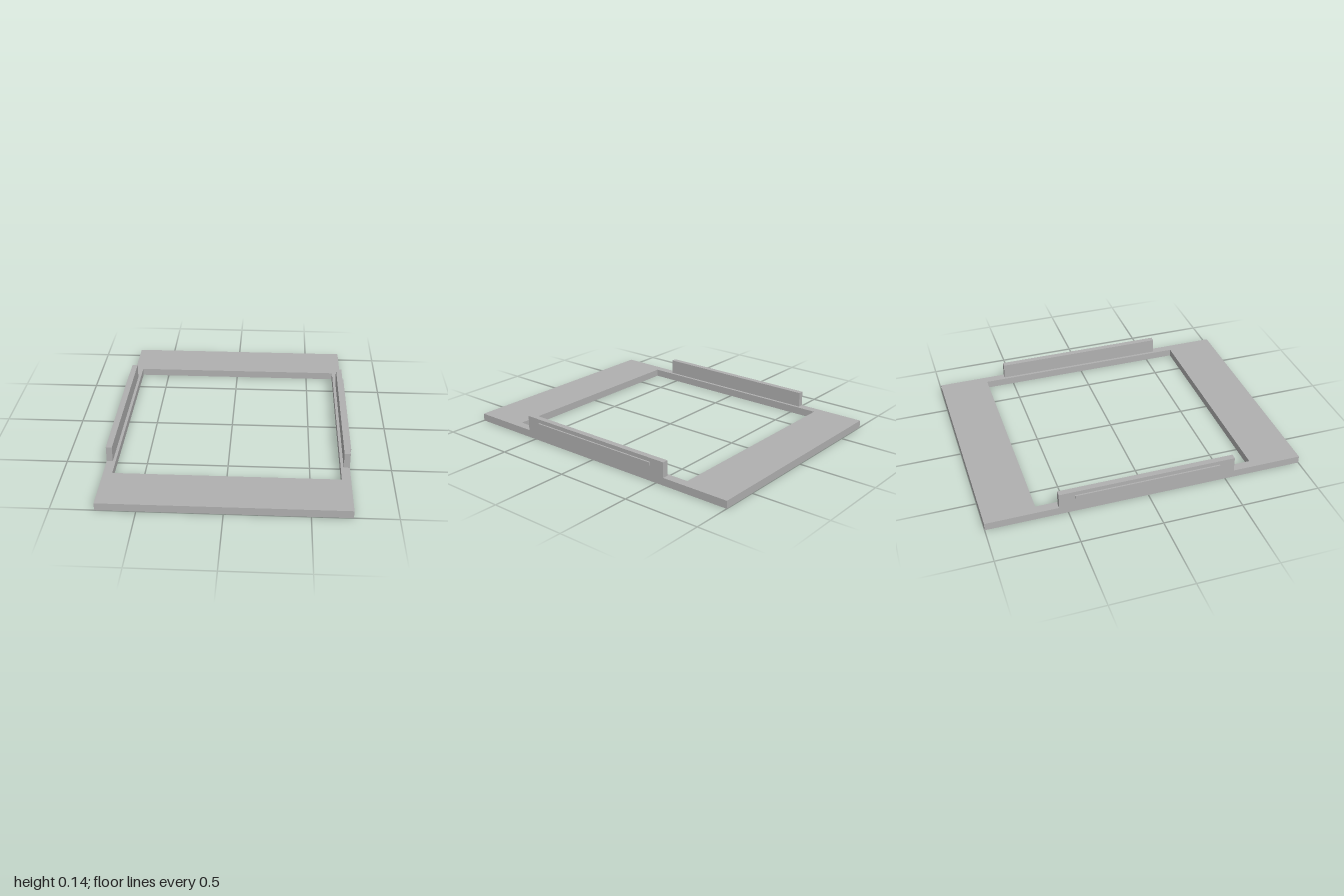
import * as THREE from 'three';

export function createModel() {
  const model = new THREE.Group();
  model.name = 'bracketFrame';
  const grey = new THREE.MeshStandardMaterial({ color: 0xb0b0b0 });
  grey.name = 'plain grey';

  const rect = (Kind, x0, x1, z0, z1) => {
    const p = new Kind();
    p.moveTo(x0, z0);
    p.lineTo(x1, z0);
    p.lineTo(x1, z1);
    p.lineTo(x0, z1);
    p.closePath();
    return p;
  };

  // Flat layer of the frame, with rectangular openings
  const layer = (name, y0, y1, openings) => {
    const shape = rect(THREE.Shape, -0.74, 0.74, -1, 1);
    shape.holes = openings.map((o) => rect(THREE.Path, ...o));
    const geo = new THREE.ExtrudeGeometry(shape, { depth: y1 - y0, bevelEnabled: false });
    geo.rotateX(-Math.PI / 2);
    geo.translate(0, y0, 0);
    const mesh = new THREE.Mesh(geo, grey);
    mesh.name = name;
    model.add(mesh);
  };

  const box = (name, x0, x1, y0, y1, halfZ) => {
    const mesh = new THREE.Mesh(new THREE.BoxGeometry(x1 - x0, y1 - y0, halfZ * 2), grey);
    mesh.position.set((x0 + x1) / 2, (y0 + y1) / 2, 0);
    mesh.name = name;
    return mesh;
  };

  // Top plate with the window, and the rims below it around two hollow ends
  const window = [-0.685, 0.685, -0.685, 0.685];
  layer('topPlate', 0.022, 0.048, [window]);
  layer('bottomRim', 0, 0.022, [
    window,
    [-0.685, 0.685, 0.7, 0.98],
    [-0.685, 0.685, -0.98, -0.7],
  ]);

  // Upright side walls, each with a thin snap ridge on the outside
  for (const side of [1, -1]) {
    const wall = new THREE.Group();
    wall.name = side > 0 ? 'leftWall' : 'rightWall';
    wall.add(box('upright', 0.703, 0.74, 0.048, 0.145, 0.555));
    wall.add(box('snapRidge', 0.739, 0.75, 0.1, 0.12, 0.458));
    if (side < 0) wall.rotation.y = Math.PI;
    model.add(wall);
  }
  return model;
}
